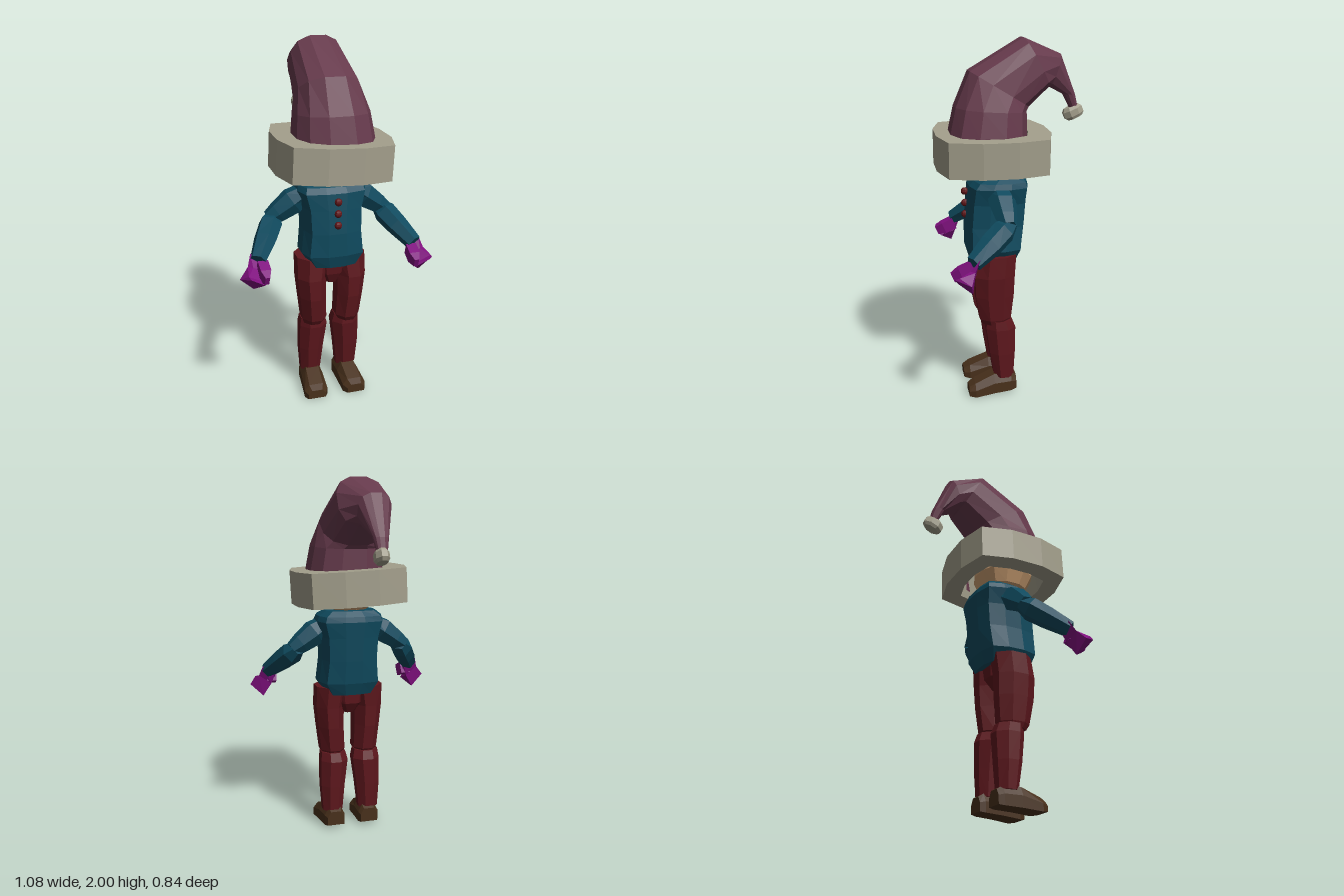
import * as THREE from 'three';

const V = (x, y, z) => new THREE.Vector3(x, y, z);
const mat = (color) => new THREE.MeshStandardMaterial({ color, flatShading: true, side: THREE.DoubleSide });
const M = {
  hat: mat(0x663a4c), trim: mat(0xa39f8c), coat: mat(0x0f4a5e), trousers: mat(0x5e171d),
  shoe: mat(0x48301b), glove: mat(0x80107f), skin: mat(0xcda073), button: mat(0x611518),
};

// Unit cross-sections running from +u towards +v
const chamfered = (flat, corner) => {
  const pts = [];
  for (let q = 0; q < 4; q++) {
    const c = [1, 0, -1, 0][q], s = [0, 1, 0, -1][q];
    for (const [u, v] of [[1, -flat], [1, flat], [corner, corner]]) pts.push([u * c - v * s, u * s + v * c]);
  }
  return pts;
};
const BLOCK = chamfered(0.3, 0.85);
const ROUND = chamfered(0.33, 0.78);
const polygon = (n) => Array.from({ length: n }, (_, i) => {
  const a = ((i + 0.5) / n) * Math.PI * 2;
  return [Math.cos(a), Math.sin(a)];
});
const HEX = polygon(6), OCT = polygon(8);
const SQUARE = [[1, -1], [1, 1], [-1, 1], [-1, -1]];

const ring = (c, u, v, shape) => shape.map(([a, b]) => c.clone().addScaledVector(u, a).addScaledVector(v, b));
// Horizontal ring: centre x, y, front z, back z, half width
const level = (x, y, zf, zb, rx, shape) => ring(V(x, y, (zf + zb) / 2), V(rx, 0, 0), V(0, 0, (zf - zb) / 2), shape);

// Skin a list of rings, optionally capping both ends
function loft(name, material, rings, capped = true) {
  const pos = [];
  const tri = (...p) => p.forEach((q) => pos.push(q.x, q.y, q.z));
  const n = rings[0].length;
  const mid = (r) => r.reduce((s, p) => s.add(p), V(0, 0, 0)).divideScalar(n);
  const first = rings[0], last = rings[rings.length - 1];
  const c0 = mid(first), c1 = mid(last);
  for (let j = 0; j < n; j++) {
    const k = (j + 1) % n;
    for (let i = 0; i + 1 < rings.length; i++) {
      const lo = rings[i], hi = rings[i + 1];
      tri(lo[j], hi[j], hi[k]);
      tri(lo[j], hi[k], lo[k]);
    }
    if (capped) {
      tri(c0, first[j], first[k]);
      tri(c1, last[k], last[j]);
    }
  }
  const g = new THREE.BufferGeometry();
  g.setAttribute('position', new THREE.Float32BufferAttribute(pos, 3));
  g.computeVertexNormals();
  const mesh = new THREE.Mesh(g, material);
  mesh.name = name;
  return mesh;
}

// Straight limb from a to b; stops are [t, half width, half depth]
function limb(name, material, a, b, stops, shape) {
  const q = new THREE.Quaternion().setFromUnitVectors(V(0, 1, 0), b.clone().sub(a).normalize());
  const u = V(1, 0, 0).applyQuaternion(q), v = V(0, 0, 1).applyQuaternion(q);
  return loft(name, material, stops.map(([t, ru, rv]) =>
    ring(a.clone().lerp(b, t), u.clone().multiplyScalar(ru), v.clone().multiplyScalar(rv), shape)));
}

// One arm, built on the +x side
function buildArm() {
  const arm = new THREE.Group();
  arm.add(
    limb('upperArm', M.coat, V(0.13, 1.2, 0.09), V(0.33, 1.06, 0.08),
      [[0, 0.05, 0.07], [0.35, 0.075, 0.075], [0.75, 0.06, 0.06], [1, 0.045, 0.045]], HEX),
    limb('forearm', M.coat, V(0.3, 1.07, 0.06), V(0.435, 0.91, 0.28),
      [[0, 0.04, 0.04], [0.2, 0.065, 0.065], [0.55, 0.065, 0.06], [1, 0.045, 0.045]], HEX),
    // Mitten: wrist widening to a square finger block
    loft('hand', M.glove, [
      [V(0.395, 0.9, 0.25), V(0.47, 0.94, 0.25), V(0.465, 0.88, 0.3), V(0.4, 0.85, 0.29)],
      [V(0.42, 0.83, 0.27), V(0.49, 0.88, 0.28), V(0.5, 0.86, 0.36), V(0.425, 0.82, 0.35)],
      [V(0.465, 0.755, 0.29), V(0.538, 0.825, 0.305), V(0.49, 0.85, 0.385), V(0.415, 0.8, 0.36)],
    ].map((r) => r.reverse())),
    limb('thumb', M.glove, V(0.415, 0.88, 0.28), V(0.41, 0.835, 0.385),
      [[0, 0.028, 0.035], [0.6, 0.028, 0.035], [1, 0.012, 0.025]], SQUARE),
  );
  return arm;
}

// One leg, built on the +x side
function buildLeg() {
  const leg = new THREE.Group();
  const stack = (name, material, rows) =>
    loft(name, material, rows.map(([x, y, zf, zb, r]) => level(x, y, zf, zb, r, OCT)));
  leg.add(
    stack('thigh', M.trousers, [[0.1, 0.43, 0.19, 0.04, 0.06], [0.097, 0.46, 0.21, 0.02, 0.075],
      [0.108, 0.6, 0.235, 0.005, 0.08], [0.113, 0.72, 0.24, 0, 0.088], [0.1, 0.84, 0.225, -0.01, 0.1]]),
    stack('shin', M.trousers, [[0.107, 0.1, 0.13, 0.01, 0.062], [0.105, 0.25, 0.155, 0, 0.075],
      [0.095, 0.4, 0.175, -0.005, 0.085], [0.098, 0.45, 0.17, 0.015, 0.075]]),
    // Shoe: sections from heel to toe, each z, half width, top, bottom
    loft('shoe', M.shoe, [[0, 0.05, 0.1, 0.02], [0.03, 0.06, 0.118, 0.015], [0.13, 0.063, 0.12, 0.01],
      [0.24, 0.067, 0.075, 0], [0.275, 0.05, 0.055, 0.005]].map(([z, r, top, bot]) => {
      const x = 0.1 + z * 0.06;
      return [V(x + r, bot, z), V(x + r, (top + bot) * 0.55, z), V(x + r * 0.6, top, z),
        V(x - r * 0.6, top, z), V(x - r, (top + bot) * 0.55, z), V(x - r, bot, z)].reverse();
    })),
  );
  return leg;
}

export function createModel() {
  const model = new THREE.Group();
  model.name = 'winterElfFigure';

  // Coat, hips, neck and head
  model.add(
    loft('coat', M.coat, [
      [0.8, 0.245, -0.02, 0.13], [0.87, 0.265, -0.045, 0.175], [1.0, 0.265, -0.06, 0.16],
      [1.13, 0.255, -0.07, 0.165], [1.22, 0.245, -0.078, 0.19], [1.25, 0.22, -0.07, 0.18], [1.28, 0.15, -0.045, 0.14],
    ].map(([y, f, b, r]) => level(0.005, y, f, b, r, BLOCK))),
    loft('hips', M.trousers, [[0.68, 0.18, 0.05, 0.045], [0.74, 0.21, 0.01, 0.1], [0.84, 0.225, 0, 0.13]]
      .map(([y, f, b, r]) => level(0, y, f, b, r, OCT))),
    loft('neck', M.skin, [[1.24, 0.13, 0, 0.06], [1.31, 0.13, 0, 0.06]].map(([y, f, b, r]) => level(0, y, f, b, r, OCT))),
    loft('head', M.skin, [[1.275, 0.2, 0.01, 0.1], [1.3, 0.24, -0.01, 0.13], [1.38, 0.28, -0.04, 0.16],
      [1.5, 0.25, -0.03, 0.14]].map(([y, f, b, r]) => level(0, y, f, b, r, ROUND))),
  );

  // Coat buttons
  for (const y of [1.18, 1.115, 1.05]) {
    const b = new THREE.Mesh(new THREE.SphereGeometry(0.021, 8, 6), M.button);
    b.name = 'button';
    b.position.set(0.005, y, 0.263);
    model.add(b);
  }

  // Mirrored limbs
  for (const [side, s] of [['left', 1], ['right', -1]]) {
    const arm = buildArm(), leg = buildLeg();
    arm.name = side + 'Arm';
    leg.name = side + 'Leg';
    arm.scale.x = leg.scale.x = s;
    model.add(arm, leg);
  }

  // Drooping hat: centre x, half width, front z/y, back z/y
  model.add(loft('hat', M.hat, [
    [0.005, 0.215, 0.35, 1.36, -0.08, 1.36], [0.01, 0.212, 0.343, 1.5, -0.07, 1.5],
    [0.005, 0.195, 0.31, 1.645, -0.07, 1.62], [-0.005, 0.165, 0.23, 1.83, -0.085, 1.64],
    [-0.015, 0.135, -0.06, 2.0, -0.2, 1.74], [-0.045, 0.09, -0.275, 1.91, -0.215, 1.735],
    [-0.05, 0.042, -0.365, 1.69, -0.3, 1.69], [-0.05, 0.027, -0.385, 1.61, -0.34, 1.61],
  ].map(([x, r, zf, yf, zb, yb]) =>
    ring(V(x, (yf + yb) / 2, (zf + zb) / 2), V(r, 0, 0), V(0, (yf - yb) / 2, (zf - zb) / 2), ROUND)), false));

  // Thick hollow brim, tipped slightly to one side
  const brim = loft('hatBrim', M.trim, [[-0.095, 0.31], [0.095, 0.31], [0.095, 0.19], [-0.095, 0.21], [-0.095, 0.31]]
    .map(([y, r]) => level(0, y, r, -r, r, BLOCK)), false);
  brim.position.set(0, 1.415, 0.11);
  brim.rotation.z = -0.05;
  model.add(brim);

  // Bobble on the hat tip
  const bobble = limb('bobble', M.trim, V(-0.048, 1.622, -0.345), V(-0.048, 1.56, -0.372),
    [[0, 0.03, 0.045], [0.25, 0.04, 0.06], [0.75, 0.04, 0.06], [1, 0.03, 0.045]], OCT);
  model.add(bobble);

  return model;
}
